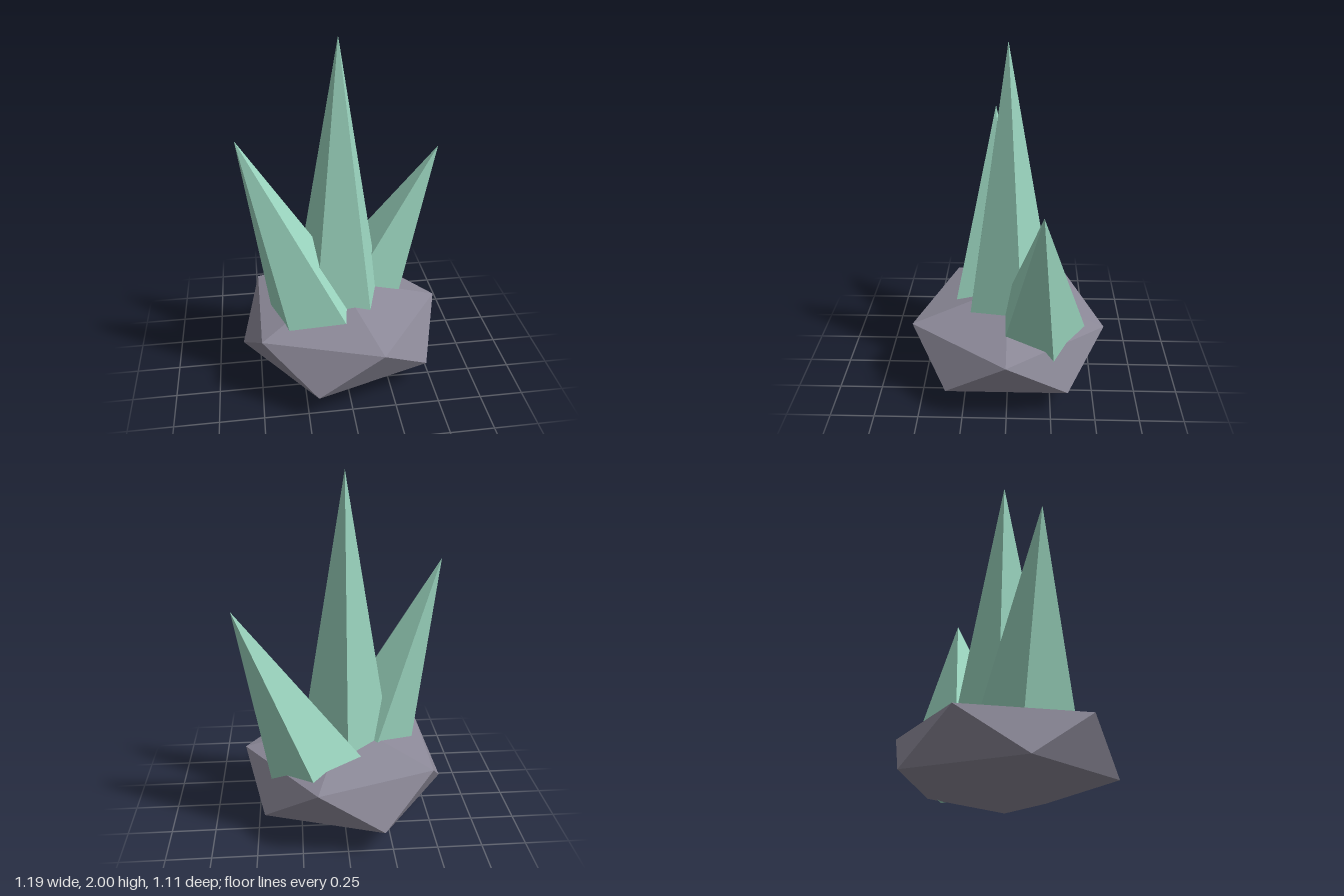
import * as THREE from 'three';

const rockMat = new THREE.MeshStandardMaterial({ color: 0x8c8998 });
rockMat.name = 'greyRock';
const crystalMat = new THREE.MeshStandardMaterial({ color: 0x9ad4be });
crystalMat.name = 'mintCrystal';

// Give every face its own normal
function faceted(geometry) {
  const g = geometry.index ? geometry.toNonIndexed() : geometry;
  g.computeVertexNormals();
  return g;
}

// Five-sided spike running from the centre of its base to its tip
function makeCrystal(name, base, tip, radius) {
  const from = new THREE.Vector3(...base);
  const axis = new THREE.Vector3(...tip).sub(from);
  const height = axis.length();
  const geometry = new THREE.ConeGeometry(radius, height, 5);
  geometry.rotateY(Math.PI / 5);
  geometry.translate(0, height / 2, 0);
  const mesh = new THREE.Mesh(faceted(geometry), crystalMat);
  mesh.name = name;
  mesh.position.copy(from);
  mesh.quaternion.setFromUnitVectors(new THREE.Vector3(0, 1, 0), axis.normalize());
  return mesh;
}

export function createModel() {
  const group = new THREE.Group();
  group.name = 'crystalCluster';

  // Rock: icosahedron standing on one corner, squashed vertically
  const rockGeo = new THREE.IcosahedronGeometry(1, 0);
  rockGeo.rotateZ(-Math.atan(2 / (1 + Math.sqrt(5))));
  rockGeo.scale(0.654, 0.277, 0.654);
  rockGeo.translate(-0.015, 0.277, 0);
  const rock = new THREE.Mesh(faceted(rockGeo), rockMat);
  rock.name = 'rockBase';
  group.add(rock);

  // Tall upright spike and two shorter ones leaning outwards
  group.add(
    makeCrystal('centreCrystal', [-0.015, 0.2, 0], [-0.015, 2, 0], 0.315),
    makeCrystal('leftCrystal', [0.104, 0.241, -0.182], [0.595, 1.305, -0.185], 0.314),
    makeCrystal('rightCrystal', [-0.104, 0.241, 0.09], [-0.565, 1.5, 0.09], 0.314),
  );
  return group;
}
